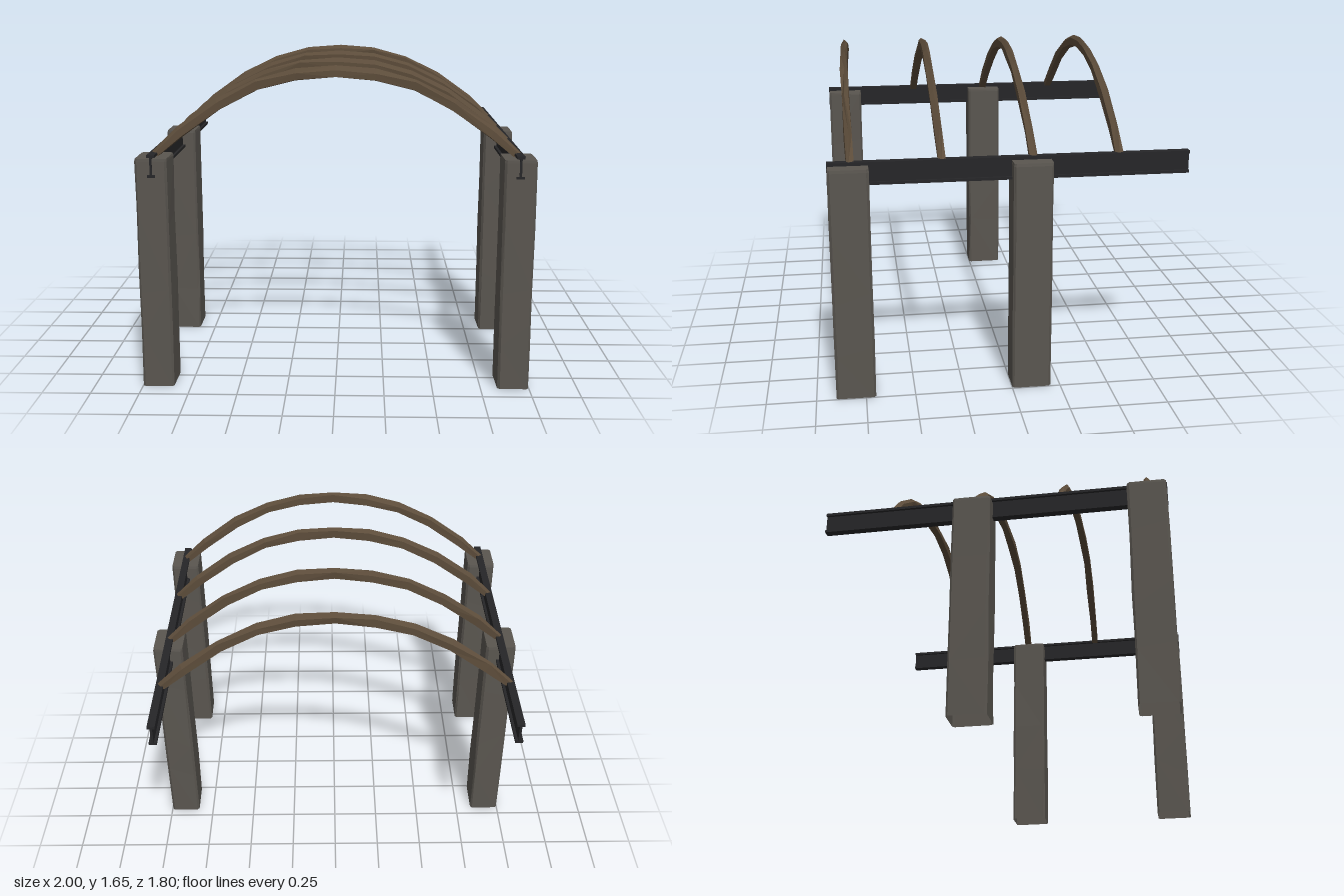
import * as THREE from 'three';

const mat = (color) => new THREE.MeshStandardMaterial({ color, flatShading: true, side: THREE.DoubleSide });

// Small seeded generator, returns -1..1
function seeded(seed) {
  let s = seed;
  return () => {
    s = (s * 16807) % 2147483647;
    return (s / 2147483647) * 2 - 1;
  };
}

// Skin a list of equal-length rings, with optional end caps
function loft(rings, capStart, capEnd) {
  const n = rings[0].length;
  const index = [];
  for (let r = 0; r < rings.length - 1; r++) {
    for (let i = 0; i < n; i++) {
      const j = (i + 1) % n;
      const a = r * n + i, b = r * n + j, c = a + n, d = b + n;
      if ((r + i) % 2) index.push(a, b, d, a, d, c);
      else index.push(a, b, c, b, d, c);
    }
  }
  const last = (rings.length - 1) * n;
  for (let i = 1; i < n - 1; i++) {
    if (capStart) index.push(0, i + 1, i);
    if (capEnd) index.push(last, last + i, last + i + 1);
  }
  const geo = new THREE.BufferGeometry();
  geo.setAttribute('position', new THREE.Float32BufferAttribute(rings.flat(2), 3));
  geo.setIndex(index);
  const flat = geo.toNonIndexed();
  flat.computeVertexNormals();
  return flat;
}

// Rough-hewn stone post with chipped corners, open underneath
function postGeometry(seed) {
  const rnd = seeded(seed);
  const hx = 0.083, hz = 0.102, c = 0.012;
  const outline = [
    [hx, hz - c], [hx, -hz + c], [hx - c, -hz], [-hx + c, -hz],
    [-hx, -hz + c], [-hx, hz - c], [-hx + c, hz], [hx - c, hz],
  ];
  const levels = [0, 0.3, 0.56, 0.92, 1.185, 1.2];
  const rings = levels.map((y, k) => outline.map(([x, z]) => {
    const shrink = k === 5 ? 0.95 : 0.975 + 0.025 * rnd();
    const wander = k > 0 && k < 4 ? 0.07 * rnd() : 0;
    return [x * shrink, y + wander, z * (k === 5 ? 0.96 : 0.98 + 0.02 * rnd())];
  }));
  return loft(rings, false, true);
}

// Steel I-section running along z
function beamGeometry() {
  const w = 0.02, t = 0.006, y0 = 1.105, y1 = 1.22, f = 0.014;
  const shape = new THREE.Shape([
    [-w, y0], [w, y0], [w, y0 + f], [t, y0 + f], [t, y1 - f], [w, y1 - f],
    [w, y1], [-w, y1], [-w, y1 - f], [-t, y1 - f], [-t, y0 + f], [-w, y0 + f],
  ].map(([x, y]) => new THREE.Vector2(x, y)));
  const geo = new THREE.ExtrudeGeometry(shape, { depth: 1.804, bevelEnabled: false });
  return geo.translate(0, 0, -0.902);
}

// Bent timber rib with a ridged top and slightly wandering sides
function ribGeometry(seed) {
  const rnd = seeded(seed);
  const outer = [[0.932, 1.215], [0.8, 1.345], [0.6, 1.488], [0.4, 1.585], [0.2, 1.64], [0, 1.655]];
  const inner = [[0.89, 1.2], [0.77, 1.295], [0.58, 1.432], [0.39, 1.53], [0.2, 1.577], [0, 1.597]];
  const rings = [];
  for (let k = -5; k <= 5; k++) {
    const s = k < 0 ? -1 : 1;
    const o = outer[5 - Math.abs(k)], i = inner[5 - Math.abs(k)];
    const zc = 0.006 * Math.sin(k * 0.9);
    const ridge = 0.008 * rnd();
    const at = (f, z) => [
      s * (i[0] + (o[0] - i[0]) * f), i[1] + (o[1] - i[1]) * f, zc + z,
    ];
    const half = () => 0.019 + 0.003 * rnd();
    rings.push([
      at(1, ridge), at(0.72 + 0.12 * rnd(), half()), at(0.06 + 0.06 * rnd(), half()),
      at(0, -half()), at(0.72 + 0.12 * rnd(), -half()),
    ]);
  }
  return loft(rings, true, true);
}

export function createModel() {
  const model = new THREE.Group();
  const stone = mat(0x5a5650), steel = mat(0x262628), wood = mat(0x5c4c3a);
  const add = (name, geo, material, x, z) => {
    const mesh = new THREE.Mesh(geo, material);
    mesh.name = name;
    mesh.position.set(x, 0, z);
    model.add(mesh);
  };

  // Posts and the beams they carry
  [['left', 1], ['right', -1]].forEach(([side, s], i) => {
    add(`${side}FrontPost`, postGeometry(911 + i * 577), stone, s * 0.917, 0.8);
    add(`${side}MiddlePost`, postGeometry(4201 + i * 811), stone, s * 0.917, -0.1);
    add(`${side}Beam`, beamGeometry(), steel, s * 0.915, 0);
  });

  // Roof ribs
  [0.795, 0.35, -0.105, -0.54].forEach((z, i) => {
    add(`roofRib${i + 1}`, ribGeometry(1203 + i * 397), wood, 0, z);
  });
  return model;
}
